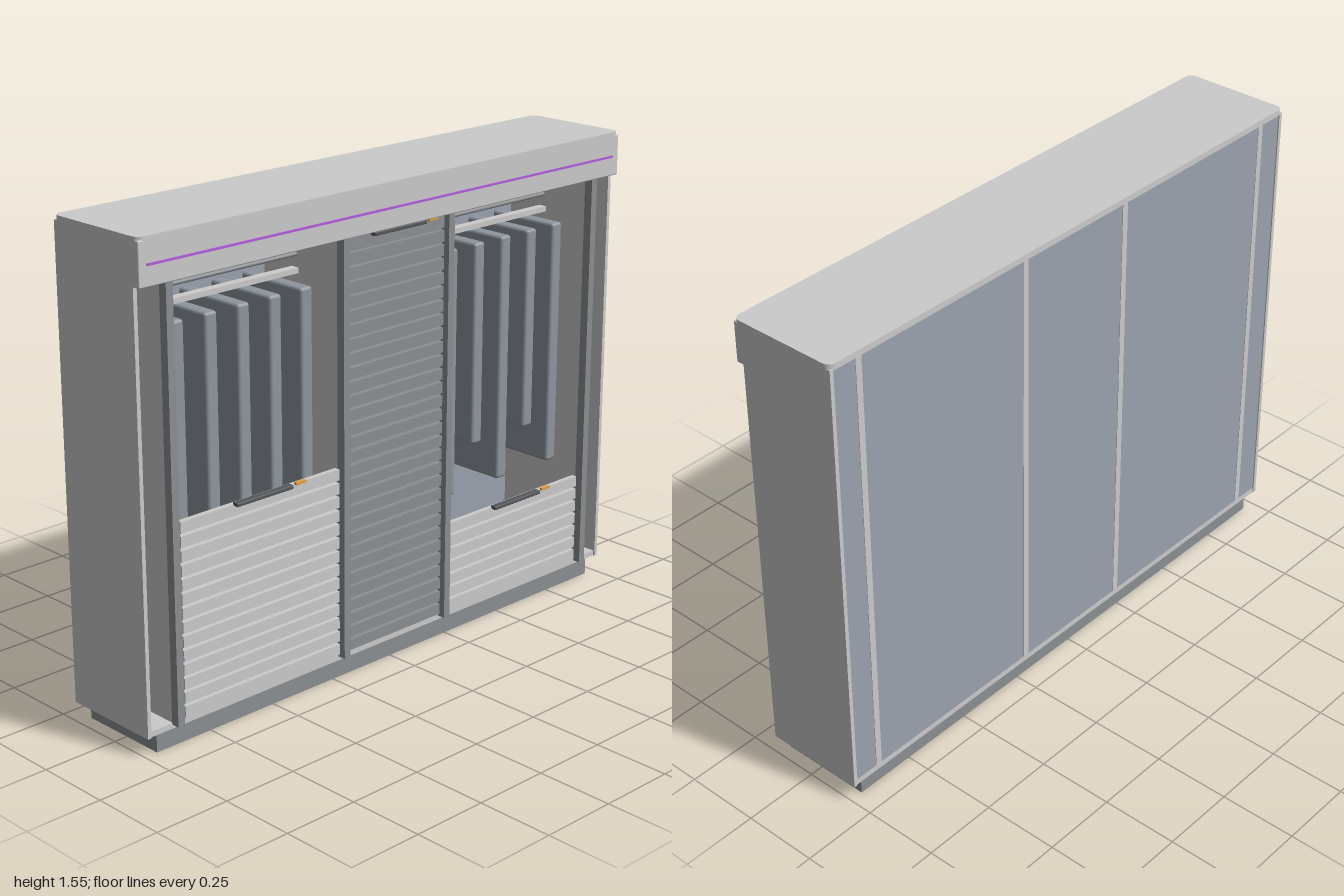
import * as THREE from 'three';
import { RoundedBoxGeometry } from 'three/addons/geometries/RoundedBoxGeometry.js';

const mat = (color) => new THREE.MeshStandardMaterial({ color });
const M = {
  body: mat(0xcccccc), dark: mat(0x8c8f93), back: mat(0x9aa2ae), slat: mat(0xe4e5e7),
  cloth: mat(0x8e969f), handle: mat(0x55585c), lamp: mat(0xe0a040), glow: mat(0xb45fe0),
};

export function createModel() {
  const root = new THREE.Group();

  // Box given by its limits on each axis; r rounds the edges
  function box(name, m, x0, x1, y0, y1, z0, z1, r = 0, parent = root) {
    const s = [x1 - x0, y1 - y0, z1 - z0];
    const g = r ? new RoundedBoxGeometry(...s, 2, r) : new THREE.BoxGeometry(...s);
    const mesh = new THREE.Mesh(g, m);
    mesh.position.set((x0 + x1) / 2, (y0 + y1) / 2, (z0 + z1) / 2);
    mesh.name = name;
    parent.add(mesh);
    return mesh;
  }

  // Carcass
  box('plinth', M.dark, -0.955, 0.955, 0, 0.062, -0.17, 0.14);
  box('floorBoard', M.body, -0.99, 0.99, 0.062, 0.08, -0.184, 0.15);
  box('backPanel', M.back, -0.985, 0.985, 0.08, 1.535, -0.183, -0.172);
  for (const s of [-1, 1]) {
    const a = s * 0.985, b = s * 0.998;
    box('sidePanel', M.body, Math.min(a, b), Math.max(a, b), 0.062, 1.54, -0.187, 0.155);
    // Partitions run the full depth, each with a dark guide post in front
    for (const x of [0.89, 0.222]) {
      box('partition', M.body, s * x - 0.011, s * x + 0.011, 0.08, 1.535, -0.1845, 0.15);
      box('guidePost', M.dark, s * x - 0.0125, s * x + 0.0125, 0.075, 1.412, 0.148, 0.177);
    }
  }

  // Top slab with rounded corners in plan
  const w = 1, d = 0.185, r = 0.025;
  const plan = new THREE.Shape();
  plan.absarc(w - r, d - r, r, 0, Math.PI / 2);
  plan.absarc(-w + r, d - r, r, Math.PI / 2, Math.PI);
  plan.absarc(-w + r, -d + r, r, Math.PI, Math.PI * 1.5);
  plan.absarc(w - r, -d + r, r, Math.PI * 1.5, Math.PI * 2);
  const slab = new THREE.Mesh(new THREE.ExtrudeGeometry(plan, {
    depth: 0.02, bevelEnabled: false, curveSegments: 6,
  }).rotateX(-Math.PI / 2), M.body);
  slab.position.set(0, 1.535, -0.003);
  slab.name = 'topSlab';
  root.add(slab);

  // Header with its light line
  box('header', M.body, -0.998, 0.998, 1.412, 1.545, 0.15, 0.182, 0.004);
  box('headerLight', M.glow, -0.97, 0.97, 1.472, 1.479, 0.18, 0.185);

  // Slatted shutter: open gaps between slats, handle and small lamp at the top
  function shutter(name, m, x0, x1, y0, y1, count) {
    const g = new THREE.Group();
    g.name = name;
    root.add(g);
    const pitch = (y1 - y0) / count;
    for (let i = 0; i < count; i++) {
      box('slat', m, x0, x1, y0 + i * pitch, y0 + (i + 1) * pitch - 0.009, 0.148, 0.166, 0, g);
    }
    const c = (x0 + x1) / 2;
    box('handle', M.handle, c - 0.11, c + 0.11, y1 - 0.014, y1 - 0.002, 0.16, 0.183, 0.003, g);
    box('lamp', M.lamp, c + 0.13, c + 0.17, y1 - 0.012, y1 - 0.004, 0.16, 0.172, 0, g);
  }
  shutter('rightShutter', M.slat, -0.865, -0.245, 0.09, 0.71, 14);
  shutter('leftShutter', M.slat, 0.24, 0.86, 0.09, 0.4, 7);
  shutter('centreShutter', M.dark, -0.205, 0.2, 0.09, 1.415, 30);
  box('centreBacking', M.dark, -0.21, 0.21, 0.08, 1.42, 0.136, 0.144);
  box('shutterJoint', M.slat, -0.205, 0.2, 0.754, 0.762, 0.145, 0.165);

  // Hanging bays: rail, light bar and garments of alternating length
  for (const [x0, first] of [[-0.867, -0.805], [0.243, 0.307]]) {
    const rail = new THREE.Mesh(new THREE.CylinderGeometry(0.007, 0.007, 0.625, 12), M.dark);
    rail.rotation.z = Math.PI / 2;
    rail.position.set(x0 + 0.31, 1.335, -0.02);
    rail.name = 'hangingRail';
    root.add(rail);
    box('lightBar', M.slat, x0 + 0.004, x0 + 0.616, 1.28, 1.297, -0.03, 0.0);
    for (let i = 0; i < 5; i++) {
      const x = first + i * 0.1225;
      box('garment', M.cloth, x - 0.023, x + 0.023, i % 2 ? 0.6 : 0.45, 1.27, -0.16, 0.105, 0.01);
    }
  }
  return root;
}
